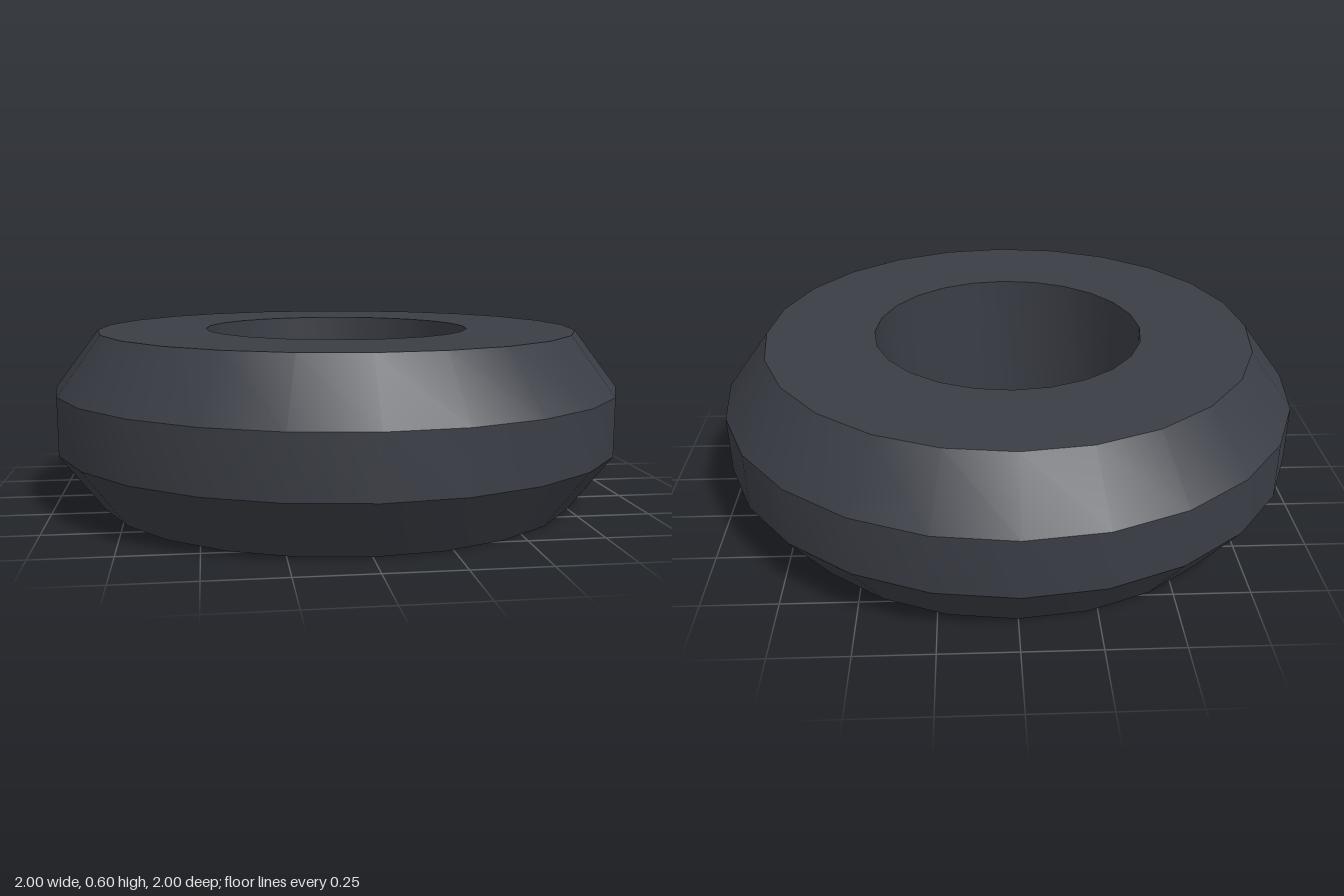
import * as THREE from 'three';
import { toCreasedNormals } from 'three/addons/utils/BufferGeometryUtils.js';

export function createModel() {
  const group = new THREE.Group();
  group.name = 'ring';

  // Closed cross-section: flat bottom, bevelled outer wall, flat top, straight bore
  const profile = [
    [0.47, 0], [0.85, 0], [1, 0.2], [1, 0.4], [0.85, 0.6], [0.47, 0.6], [0.47, 0],
  ].map(([r, y]) => new THREE.Vector2(r, y));

  // Smooth around the ring, sharp along the profile corners
  const geometry = toCreasedNormals(new THREE.LatheGeometry(profile, 24), 0.5);
  const material = new THREE.MeshStandardMaterial({ color: 0x3a3d45 });

  const body = new THREE.Mesh(geometry, material);
  body.name = 'bevelledRing';
  group.add(body);
  return group;
}
